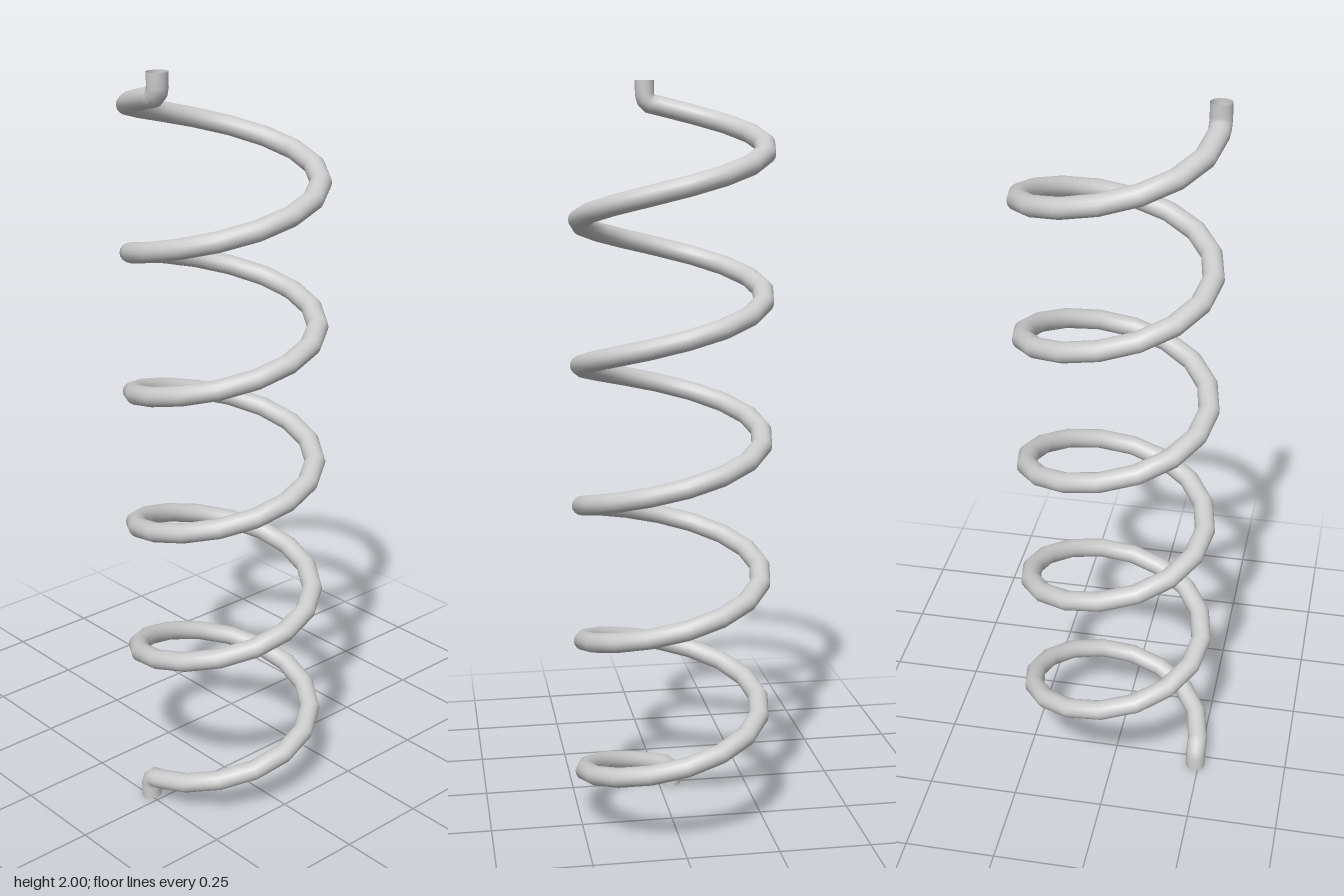
import * as THREE from 'three';

const COIL_RADIUS = 0.24, TURNS = 5, STEPS = 16, PITCH = 0.374;
const WIRE_RADIAL = 0.0275, WIRE_AXIAL = 0.026, SIDES = 16;

// Centre line of the wire: lower stub, helix, upper stub
function wirePath() {
  const bend = [[-0.035, 0], [-0.035, 0.035], [-0.031, 0.05], [-0.02, 0.061]];
  const path = bend.map(([x, y]) => new THREE.Vector3(x, y, COIL_RADIUS));
  const count = TURNS * STEPS;
  for (let i = 0; i <= count; i++) {
    const a = (i / STEPS) * Math.PI * 2;
    path.push(new THREE.Vector3(
      Math.sin(a) * COIL_RADIUS,
      1 + (i / STEPS - TURNS / 2) * PITCH,
      Math.cos(a) * COIL_RADIUS));
  }
  // the upper stub is the lower one turned half round
  for (const [x, y] of bend.reverse()) path.push(new THREE.Vector3(-x, 2 - y, COIL_RADIUS));
  return path;
}

// Open tube swept along the path, with each ring aligned to the coil axis
function sweepWire(path) {
  const positions = [], index = [];
  path.forEach((p, i) => {
    const prev = path[Math.max(i - 1, 0)], next = path[Math.min(i + 1, path.length - 1)];
    const inDir = p.clone().sub(prev).normalize(), outDir = next.clone().sub(p).normalize();
    const tangent = inDir.add(outDir).normalize();
    const onStub = i < 4 || i >= path.length - 4;
    const radial = onStub ? new THREE.Vector3(0, 0, 1) : new THREE.Vector3(p.x, 0, p.z).normalize();
    radial.addScaledVector(tangent, -radial.dot(tangent)).normalize();
    const side = tangent.clone().cross(radial);
    for (let j = 0; j < SIDES; j++) {
      const a = (j / SIDES) * Math.PI * 2;
      const v = p.clone()
        .addScaledVector(radial, Math.cos(a) * WIRE_RADIAL)
        .addScaledVector(side, Math.sin(a) * WIRE_AXIAL);
      positions.push(v.x, v.y, v.z);
      if (i < path.length - 1) {
        const k = (j + 1) % SIDES, r = i * SIDES, s = r + SIDES;
        index.push(r + j, r + k, s + j, r + k, s + k, s + j);
      }
    }
  });
  const geometry = new THREE.BufferGeometry();
  geometry.setAttribute('position', new THREE.Float32BufferAttribute(positions, 3));
  geometry.setIndex(index);
  geometry.computeVertexNormals();
  return geometry;
}

export function createModel() {
  const group = new THREE.Group();
  group.name = 'spring';
  const material = new THREE.MeshStandardMaterial({ color: 0xcccccc, side: THREE.DoubleSide });
  const wire = new THREE.Mesh(sweepWire(wirePath()), material);
  wire.name = 'coiledWire';
  group.add(wire);
  return group;
}
